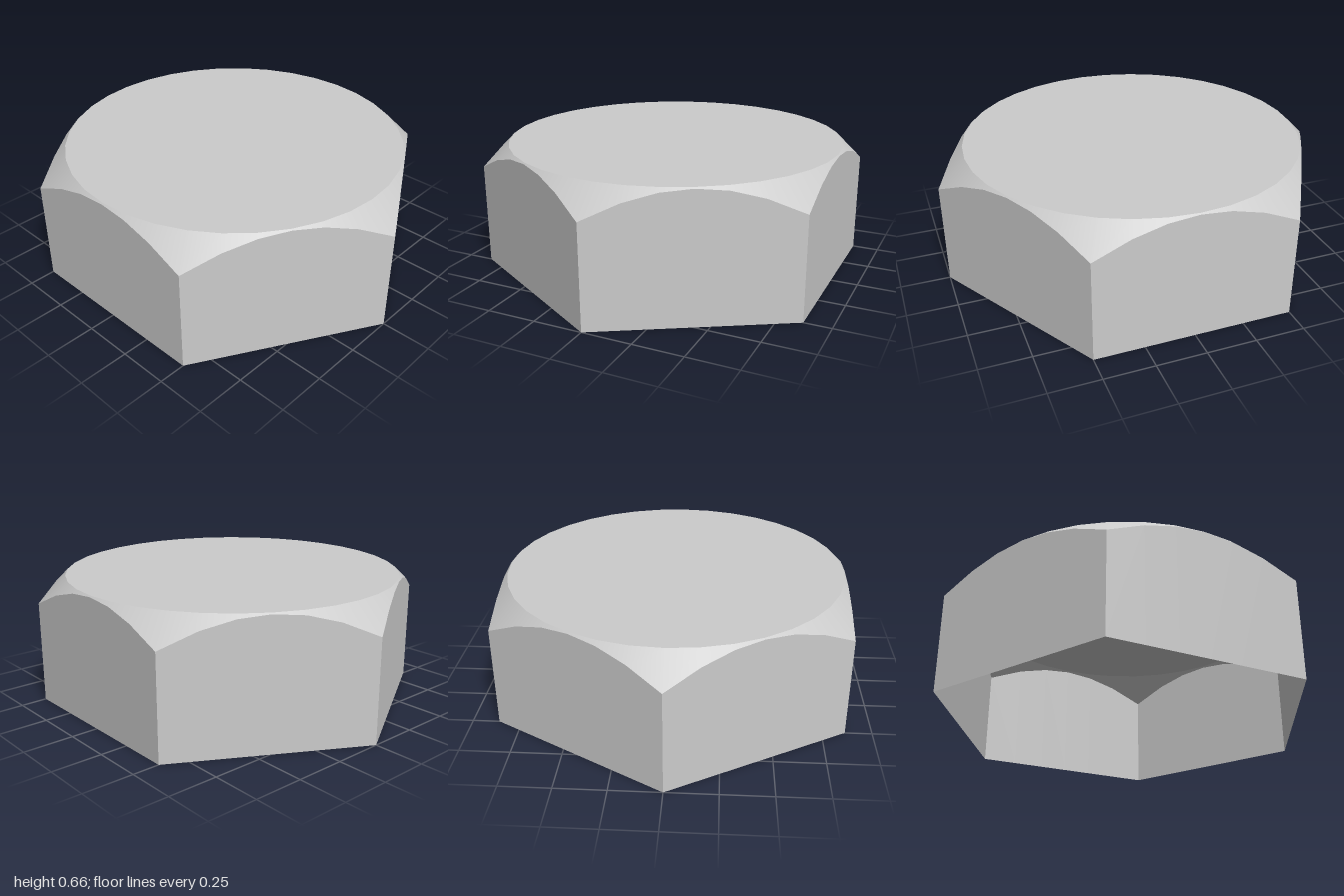
import * as THREE from 'three';

const APOTHEM = Math.sqrt(3) / 2; // centre to flat, with corners at radius 1
const HEIGHT = 0.66;
const CAP_RADIUS = 0.86;
const STEPS = 6; // segments per hexagon side

// Quad strip between a lower and an upper row of points, running left to right seen from outside
function strip(lower, upper, normals) {
  const positions = [], index = [];
  lower.forEach((p, i) => {
    positions.push(...p.toArray(), ...upper[i].toArray());
    if (i > 0) {
      const a = 2 * i - 2;
      index.push(a, a + 2, a + 3, a, a + 3, a + 1);
    }
  });
  const geometry = new THREE.BufferGeometry();
  geometry.setAttribute('position', new THREE.Float32BufferAttribute(positions, 3));
  geometry.setAttribute('normal', new THREE.Float32BufferAttribute(
    normals.flatMap((n) => [...n.toArray(), ...n.toArray()]), 3));
  geometry.setIndex(index);
  return geometry;
}

const polar = (r, angle, y) => new THREE.Vector3(r * Math.sin(angle), y, r * Math.cos(angle));

export function createModel() {
  const group = new THREE.Group();
  group.name = 'hexBoltHead';
  const material = new THREE.MeshStandardMaterial({ color: 0xcccccc, side: THREE.DoubleSide });
  const add = (name, geometry) => {
    const mesh = new THREE.Mesh(geometry, material);
    mesh.name = name;
    group.add(mesh);
    return mesh;
  };

  // One hexagon side: flat wall with an arched top, and the conical chamfer above it
  const bottom = [], arch = [], rim = [], flatNormals = [], coneNormals = [];
  for (let i = 0; i <= STEPS; i++) {
    const angle = (i / STEPS - 0.5) * Math.PI / 3;
    const r = APOTHEM / Math.cos(angle);
    bottom.push(polar(r, angle, 0));
    arch.push(polar(r, angle, HEIGHT - (r - CAP_RADIUS))); // 45 degree cone
    rim.push(polar(CAP_RADIUS, angle, HEIGHT));
    flatNormals.push(new THREE.Vector3(0, 0, 1));
    coneNormals.push(polar(1, angle, 1).normalize());
  }
  const wall = strip(bottom, arch, flatNormals);
  const chamfer = strip(arch, rim, coneNormals);
  for (let k = 0; k < 6; k++) {
    add('sideWall' + (k + 1), wall).rotation.y = k * Math.PI / 3;
    add('chamfer' + (k + 1), chamfer).rotation.y = k * Math.PI / 3;
  }

  // Round top face; the underside stays open
  const cap = new THREE.CircleGeometry(CAP_RADIUS, 6 * STEPS);
  cap.rotateX(-Math.PI / 2).translate(0, HEIGHT, 0);
  add('topFace', cap);
  return group;
}
